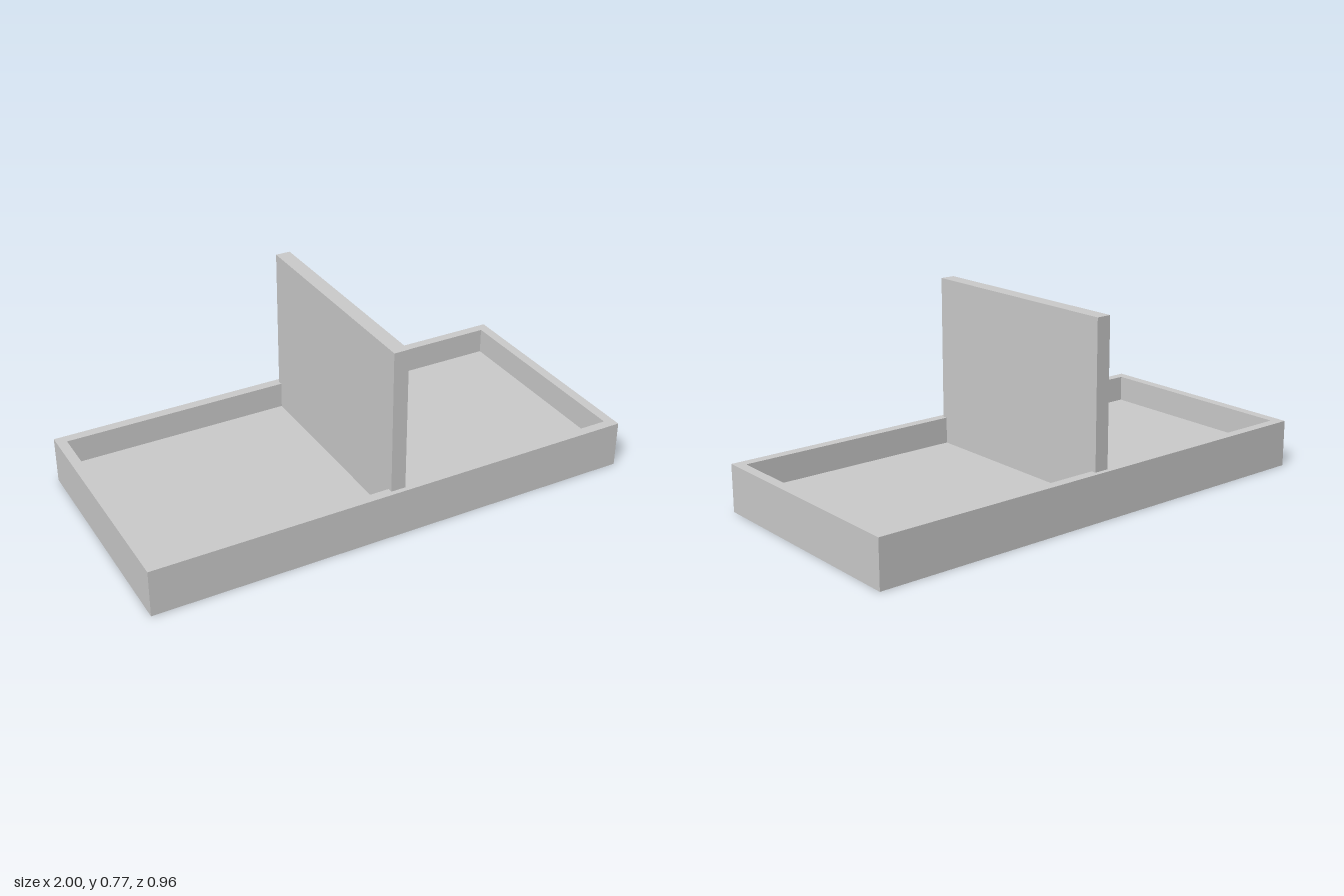
import * as THREE from 'three';

export function createModel() {
  const model = new THREE.Group();
  const material = new THREE.MeshStandardMaterial({ color: 0xcccccc, flatShading: true });

  const width = 2, depth = 0.96, rim = 0.19, wall = 0.04, floorTop = 0.083;

  const add = (name, geometry) => {
    const mesh = new THREE.Mesh(geometry, material);
    mesh.name = name;
    model.add(mesh);
    return mesh;
  };

  const rectangle = (PathType, w, d) => new PathType([
    new THREE.Vector2(-w / 2, -d / 2),
    new THREE.Vector2(w / 2, -d / 2),
    new THREE.Vector2(w / 2, d / 2),
    new THREE.Vector2(-w / 2, d / 2),
  ]);

  // Rim: one continuous rectangular frame, extruded upward
  const frame = rectangle(THREE.Shape, width, depth);
  frame.holes.push(rectangle(THREE.Path, width - 2 * wall, depth - 2 * wall));
  const walls = new THREE.ExtrudeGeometry(frame, { depth: rim, bevelEnabled: false });
  walls.rotateX(-Math.PI / 2);
  add('trayWalls', walls);

  // Floor slab fitted inside the frame
  add('trayFloor', new THREE.BoxGeometry(width - 2 * wall, floorTop, depth - 2 * wall))
    .position.y = floorTop / 2;

  // Upright panel across the middle, let into the front and back walls
  const top = 0.77;
  add('dividerPanel', new THREE.BoxGeometry(0.06, top - floorTop, 0.92))
    .position.y = (top + floorTop) / 2;

  return model;
}
